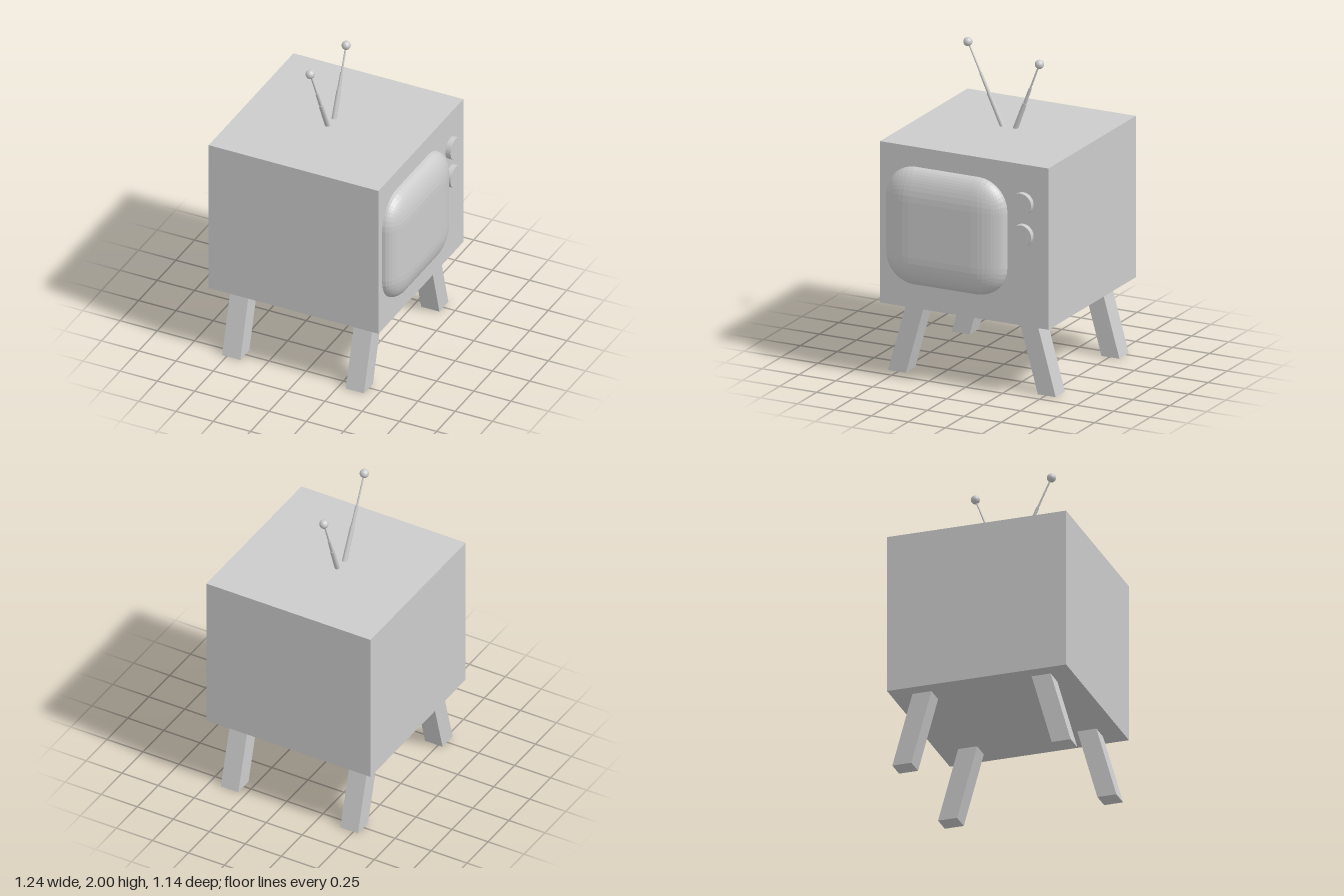
import * as THREE from 'three';
import { RoundedBoxGeometry } from 'three/addons/geometries/RoundedBoxGeometry.js';

const flat = new THREE.MeshStandardMaterial({ color: 0xcccccc, flatShading: true });
const smooth = new THREE.MeshStandardMaterial({ color: 0xcccccc });

function add(parent, name, geometry, material, x = 0, y = 0, z = 0) {
  const mesh = new THREE.Mesh(geometry, material);
  mesh.name = name;
  mesh.position.set(x, y, z);
  parent.add(mesh);
  return mesh;
}

// Cylinder running from point a to point b
function rod(parent, name, a, b, rA, rB) {
  const dir = b.clone().sub(a);
  const mesh = add(parent, name, new THREE.CylinderGeometry(rB, rA, dir.length(), 16), smooth);
  mesh.position.copy(a).lerp(b, 0.5);
  mesh.quaternion.setFromUnitVectors(new THREE.Vector3(0, 1, 0), dir.normalize());
}

// Telescopic aerial: three sections of falling thickness and a ball tip
function antenna(name, base, tip) {
  const group = new THREE.Group();
  group.name = name;
  const stops = [0, 0.41, 0.64, 1];
  const radii = [[0.016, 0.014], [0.011, 0.009], [0.006, 0.005]];
  radii.forEach(([rA, rB], i) => {
    const a = base.clone().lerp(tip, stops[i]);
    const b = base.clone().lerp(tip, stops[i + 1]);
    rod(group, 'antennaSection' + (i + 1), a, b, rA, rB);
  });
  add(group, 'antennaTip', new THREE.SphereGeometry(0.028, 20, 14), smooth, tip.x, tip.y, tip.z);
  return group;
}

export function createModel() {
  const model = new THREE.Group();
  model.name = 'television';

  // Cabinet
  add(model, 'cabinet', new THREE.BoxGeometry(1.14, 1.02, 1.14), flat, -0.05, 0.965, 0);

  // Bulging screen on the +x face
  const screen = new RoundedBoxGeometry(0.4, 0.74, 0.815, 5, 0.195);
  screen.scale(0.5, 1, 1);
  add(model, 'screen', screen, flat, 0.52, 0.98, 0.115);

  // Two control knobs beside the screen
  for (const y of [1.23, 1.03]) {
    const knob = new THREE.CylinderGeometry(0.07, 0.07, 0.045, 32);
    knob.rotateZ(-Math.PI / 2);
    add(model, 'knob', knob, flat, 0.5325, y, -0.4);
  }

  // Four splayed legs, sheared so the feet stay flat
  const legHeight = 0.456;
  for (const x of [-0.47, 0.36]) {
    for (const side of [1, -1]) {
      const leg = new THREE.BoxGeometry(0.122, legHeight, 0.121);
      leg.translate(0, legHeight / 2, 0);
      const p = leg.attributes.position;
      for (let i = 0; i < p.count; i++) {
        p.setZ(i, p.getZ(i) + side * (0.507 - 0.128 * p.getY(i) / legHeight));
      }
      leg.computeVertexNormals();
      add(model, 'leg', leg, flat, x, 0, 0);
    }
  }

  // Pair of aerials spreading from the top
  const v = (y, z) => new THREE.Vector3(-0.08, y, z);
  model.add(antenna('tallAntenna', v(1.46, 0.046), v(1.973, 0.287)));
  model.add(antenna('shortAntenna', v(1.46, -0.03), v(1.902, -0.197)));

  return model;
}
